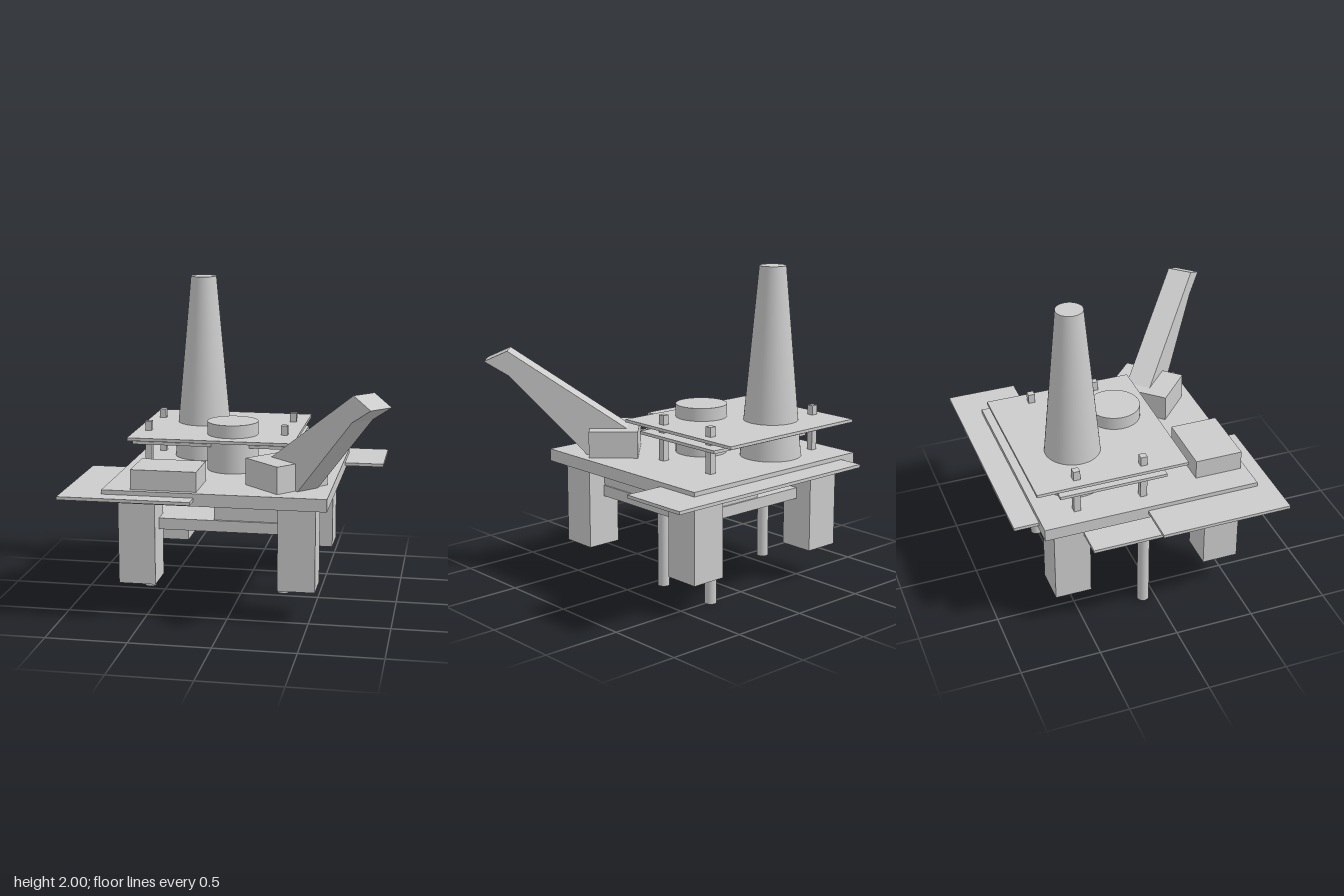
import * as THREE from 'three';

const material = new THREE.MeshStandardMaterial({ color: 0xcccccc });

export function createModel() {
  const model = new THREE.Group();
  model.name = 'offshorePlatform';

  const add = (name, geometry, x = 0, y = 0, z = 0) => {
    const mesh = new THREE.Mesh(geometry, material);
    mesh.name = name;
    mesh.position.set(x, y, z);
    model.add(mesh);
    return mesh;
  };
  // Box given by its extents on each axis
  const block = (name, [x0, x1], [y0, y1], [z0, z1]) =>
    add(name, new THREE.BoxGeometry(x1 - x0, y1 - y0, z1 - z0),
      (x0 + x1) / 2, (y0 + y1) / 2, (z0 + z1) / 2);
  // Upright round part from y0 to y1
  const round = (name, rTop, rBottom, x, z, y0, y1, sides = 48) =>
    add(name, new THREE.CylinderGeometry(rTop, rBottom, y1 - y0, sides), x, (y0 + y1) / 2, z);

  // Main deck and the thin platforms sticking out of it
  block('mainDeck', [-0.745, 0.617], [0.735, 0.813], [-0.745, 0.615]);
  block('rearPlatform', [-0.63, 0.87], [0.766, 0.786], [-0.9, -0.452]);
  block('frontPlatform', [-0.995, -0.182], [0.766, 0.786], [-0.098, 0.718]);
  block('sidePlatform', [-0.85, -0.09], [0.648, 0.668], [-0.48, 0.27]);

  // Structure below the deck
  block('lowerDeck', [-0.55, 0.428], [0.53, 0.6], [-0.55, 0.425]);
  block('lowerHouse', [-0.095, 0.42], [0.6, 0.735], [-0.54, 0.41]);
  for (const x of [-0.55, 0.428])
    for (const z of [-0.552, 0.425])
      block('leg', [x - 0.114, x + 0.114], [0.21, 0.735], [z - 0.114, z + 0.114]);
  for (const [x, z] of [[-0.615, -0.077], [0.265, -0.077], [0.265, -0.508]])
    round('riserPipe', 0.037, 0.037, x, z, 0, 0.74, 32);

  // Raised decks on four posts
  block('raisedDeckLower', [-0.695, 0.355], [0.97, 0.989], [-0.63, 0.04]);
  block('raisedDeckUpper', [-0.695, 0.355], [1.021, 1.04], [-0.77, 0.176]);
  for (const x of [-0.613, 0.267])
    for (const z of [-0.506, -0.085])
      block('deckPost', [x - 0.021, x + 0.021], [0.81, 1.1], [z - 0.021, z + 0.021]);

  // Tower, tank and cabin
  round('tower', 0.083, 0.192, -0.319, -0.428, 0.81, 2);
  round('tank', 0.162, 0.162, -0.063, -0.067, 0.81, 1.122);
  block('cabin', [-0.574, -0.17], [0.81, 0.936], [0.28, 0.58]);

  // Crane: turned house with a boom rising outward
  const turn = -0.75;
  add('craneHouse', new THREE.BoxGeometry(0.305, 0.17, 0.395), 0.335, 0.895, 0.303).rotation.y = turn;
  const profile = new THREE.Shape([
    [0, 0.7], [0.15, 0.7], [0.25, 0.81], [0.725, 1.31], [0.88, 1.403], [0.735, 1.468], [0, 0.98],
  ].map(([u, y]) => new THREE.Vector2(u, y)));
  const boom = new THREE.ExtrudeGeometry(profile, { depth: 0.16, bevelEnabled: false });
  boom.translate(0, 0, -0.08);
  add('craneBoom', boom, 0.293, 0, 0.233).rotation.y = turn;

  return model;
}
